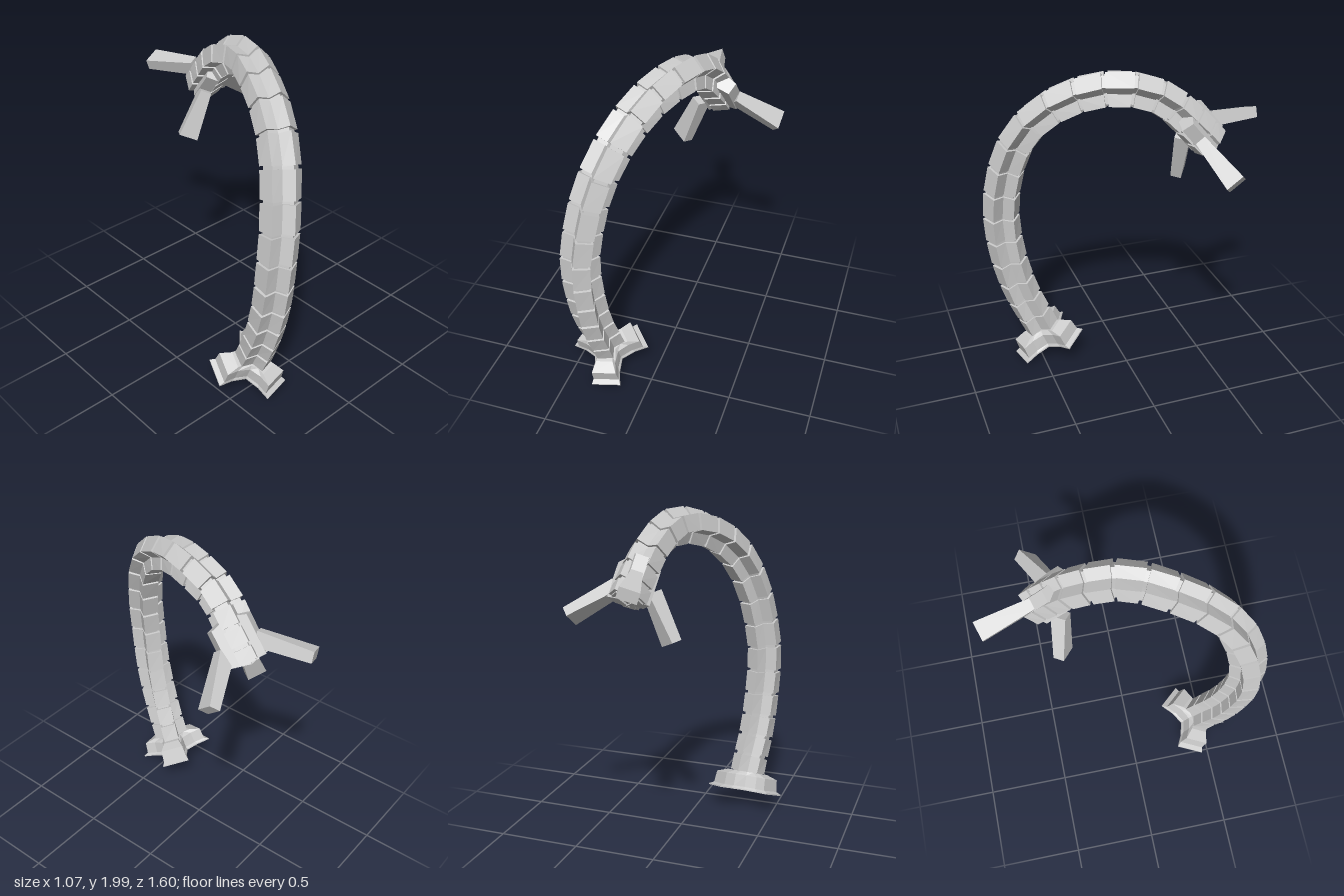
import * as THREE from 'three';

const V = (x, y, z) => new THREE.Vector3(x, y, z);
const LOBES = [-80, 40, 160].map(THREE.MathUtils.degToRad);

// Centre line of the arm, from the underside of the base to the tip
const path = new THREE.CatmullRomCurve3([
  V(-0.293, 0.107, 0.437), V(-0.298, 0.25, 0.498), V(-0.324, 0.5, 0.602), V(-0.335, 0.75, 0.666),
  V(-0.338, 1.0, 0.694), V(-0.313, 1.2, 0.687), V(-0.275, 1.4, 0.65), V(-0.213, 1.6, 0.573),
  V(-0.143, 1.75, 0.445), V(-0.055, 1.86, 0.25), V(0.04, 1.897, 0.03), V(0.085, 1.828, -0.19),
  V(0.125, 1.68, -0.348), V(0.15, 1.535, -0.475),
], false, 'centripetal');
path.arcLengthDivisions = 600;
const LENGTH = path.getLength();

// Frame at a distance along the arm: x points out of the bend, z along the arm, with a slight roll
function frameAt(dist) {
  const u = THREE.MathUtils.clamp(dist / LENGTH, 0, 1);
  const t = path.getTangentAt(u);
  const n = V(0.92, 0, 0.38).cross(t).normalize();
  const b = t.clone().cross(n);
  const roll = THREE.MathUtils.degToRad(-8 + 19 * Math.sin(Math.PI * u));
  return new THREE.Matrix4().makeBasis(n, b, t).setPosition(path.getPointAt(u))
    .multiply(new THREE.Matrix4().makeRotationZ(roll));
}

// Three-lobed outline: flat lobe ends of half width hw at distance r, grooves at rg
function outline(r, hw, rg, waist = 0) {
  const pts = [];
  for (const a of LOBES) {
    const add = (x, y) => pts.push(V(x * Math.cos(a) - y * Math.sin(a), x * Math.sin(a) + y * Math.cos(a), 0));
    if (waist) add(r * 0.62, -hw * waist);
    add(r, -hw);
    add(r, hw);
    if (waist) add(r * 0.62, hw * waist);
    add(rg * 0.5, rg * 0.866);
  }
  return pts;
}

const place = (pts, matrix, h = 0) => pts.map(p => V(p.x, p.y, p.z + h).applyMatrix4(matrix));

// Faceted skin through matching cross-sections, capped at both ends
function loft(sections) {
  const pos = [];
  const tri = (...ps) => ps.forEach(p => pos.push(p.x, p.y, p.z));
  const n = sections[0].length;
  const centre = s => s.reduce((c, p) => c.add(p), V(0, 0, 0)).divideScalar(n);
  const first = sections[0], last = sections[sections.length - 1];
  const c0 = centre(first), c1 = centre(last);
  for (let i = 0; i < n; i++) {
    const j = (i + 1) % n;
    for (let k = 0; k < sections.length - 1; k++) {
      const a = sections[k], b = sections[k + 1];
      tri(a[i], a[j], b[j]);
      tri(a[i], b[j], b[i]);
    }
    tri(c0, first[j], first[i]);
    tri(c1, last[i], last[j]);
  }
  const g = new THREE.BufferGeometry();
  g.setAttribute('position', new THREE.Float32BufferAttribute(pos, 3));
  g.computeVertexNormals();
  return g;
}

// Tapered bar between two points; sizes are [width, thickness], thickness lying near 'up'
function bar(from, to, size0, size1, up) {
  const z = to.clone().sub(from).normalize();
  const x = up.clone().cross(z).normalize();
  const y = z.clone().cross(x);
  const rect = (p, [w, h]) => [[-1, -1], [1, -1], [1, 1], [-1, 1]].map(([sx, sy]) =>
    p.clone().addScaledVector(x, sx * w / 2).addScaledVector(y, sy * h / 2));
  return loft([rect(from, size0), rect(to, size1)]);
}

export function createModel() {
  const model = new THREE.Group();
  model.name = 'segmentedArm';
  const grey = new THREE.MeshStandardMaterial({ color: 0xcccccc });
  grey.name = 'lightGrey';
  const add = (name, geometry, parent = model) => {
    const mesh = new THREE.Mesh(geometry, grey);
    mesh.name = name;
    parent.add(mesh);
  };

  // Three-footed base with a thin flared skirt and a recess underneath
  const foot = frameAt(0);
  add('base', loft([
    [0.04, 0.10, 0.035, 0.04], [0, 0.10, 0.035, 0.04], [0, 0.224, 0.09, 0.095],
    [0.008, 0.224, 0.09, 0.095], [0.022, 0.195, 0.08, 0.087], [0.098, 0.188, 0.075, 0.084],
    [0.122, 0.12, 0.052, 0.07],
  ].map(([h, r, hw, rg]) => place(outline(r, hw, rg, 0.85), foot, h))));

  // Continuous inner core seen in the gaps
  const core = [];
  for (let i = 0; i <= 48; i++) core.push(place(outline(0.086, 0.038, 0.046), frameAt(0.1 + (LENGTH - 0.11) * i / 48)));
  add('core', loft(core));

  // Segments: short near the base, longest in the bend, short again at the tip
  const segments = new THREE.Group();
  segments.name = 'segments';
  model.add(segments);
  const count = 19, start = 0.125, gap = 0.02;
  const sizes = Array.from({ length: count }, (_, i) => {
    const t = i / (count - 1);
    return 0.125 - 0.03 * t + 0.065 * Math.sin(Math.PI * t);
  });
  const scale = (LENGTH - start) / sizes.reduce((a, b) => a + b);
  const section = outline(0.101, 0.05, 0.058);
  let d = start;
  sizes.forEach((s, i) => {
    const end = d + s * scale;
    add('segment' + (i + 1), loft([place(section, frameAt(d)), place(section, frameAt(end - gap))]), segments);
    d = end;
  });

  // Three fingers, each on a bracket set into a groove at the tip
  const tip = path.getPointAt(1);
  const axis = V(0.07, -0.77, -0.63).normalize();
  const hub = tip.clone().addScaledVector(axis, -0.14);
  const fingers = [
    [V(0.10, 1.672, -0.47), V(0.012, 1.645, -0.78), 0.11],
    [V(0.25, 1.597, -0.365), V(0.505, 1.43, -0.465), 0.135],
    [V(0.055, 1.57, -0.33), V(-0.068, 1.295, -0.355), 0.12],
  ];
  fingers.forEach(([root, end, reach], i) => {
    const group = new THREE.Group();
    group.name = 'finger' + (i + 1);
    model.add(group);
    const out = root.clone().sub(hub);
    out.addScaledVector(axis, -out.dot(axis)).normalize();
    add('bracket', bar(hub.clone().addScaledVector(out, 0.02), hub.clone().addScaledVector(out, reach),
      [0.10, 0.28], [0.075, 0.22], axis), group);
    add('finger', bar(root, end, [0.065, 0.09], [0.115, 0.065], axis), group);
  });

  return model;
}
